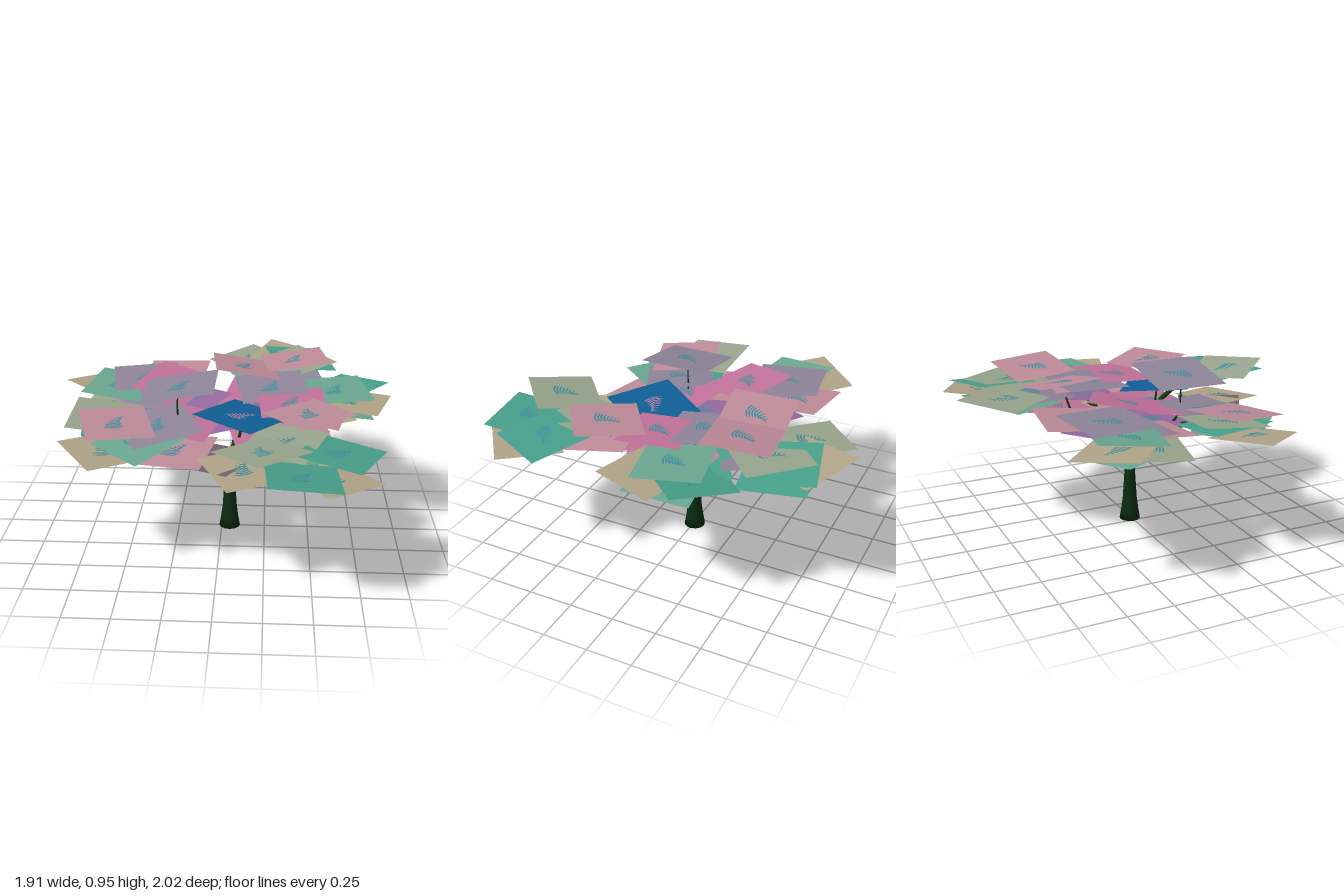
import * as THREE from 'three';
import { mergeGeometries } from 'three/addons/utils/BufferGeometryUtils.js';

const COLORS = {
  pink: 0xbd8a98, rose: 0xc07198, dusk: 0x8f8499, mauve: 0x96689f, blue: 0x0f5f96,
  teal: 0x479f8a, green: 0x6aa690, sage: 0x97a48c, tan: 0xb0a488, shade: 0x75606a,
};
const CARD = 0.36;
const mats = {};
const mat = (color) => (mats[color] ??= new THREE.MeshStandardMaterial({ color, side: THREE.DoubleSide }));

// Leaf cards per bough: x, y, z, yaw in degrees, rise along x, rise along z, colour
const BOUGHS = {
  backLeafCards: [
    [0.36, 0.79, -0.77, -25, -0.06, -0.14, 'tan'],
    [0.45, 0.81, -0.68, 14, -0.12, -0.05, 'teal'],
    [0.14, 0.79, -0.71, 41, 0.05, -0.06, 'sage'],
    [0.42, 0.82, -0.60, 40, 0.02, -0.08, 'sage'],
    [0.41, 0.88, -0.45, 8, 0.12, 0.03, 'pink'],
    [0.12, 0.85, -0.40, 6, -0.18, 0.06, 'pink'],
    [0.34, 0.76, -0.52, 20, 0.1, -0.12, 'dusk'],
    [0.40, 0.72, -0.64, 8, -0.1, -0.05, 'teal'],
    [0.22, 0.75, -0.62, 30, 0.06, -0.1, 'green'],
    [0.20, 0.71, -0.42, -12, 0.08, -0.12, 'rose'],
  ],
  backLeftLeafCards: [
    [0.70, 0.76, -0.31, -44, 0.12, 0.03, 'teal'],
    [0.64, 0.79, -0.18, 12, 0.0, -0.06, 'green'],
    [0.73, 0.76, -0.08, -18, -0.02, 0.02, 'tan'],
    [0.51, 0.71, -0.06, -14, -0.08, -0.1, 'pink'],
    [0.65, 0.70, -0.15, 5, -0.12, 0.06, 'green'],
    [0.42, 0.76, -0.16, -8, 0.06, 0.05, 'pink'],
    [0.54, 0.73, -0.24, 28, -0.1, -0.12, 'teal'],
    [0.53, 0.65, -0.16, 20, 0.06, -0.06, 'tan'],
  ],
  backRightLeafCards: [
    [-0.70, 0.72, -0.42, 47, -0.08, 0.06, 'tan'],
    [-0.61, 0.75, -0.32, -13, -0.05, -0.1, 'green'],
    [-0.62, 0.68, -0.20, -10, 0.08, -0.06, 'sage'],
    [-0.46, 0.79, -0.36, 9, 0.03, -0.04, 'dusk'],
    [-0.30, 0.77, -0.48, -6, 0.06, -0.1, 'pink'],
    [-0.28, 0.82, -0.18, -27, -0.04, -0.18, 'rose'],
    [-0.43, 0.70, -0.10, 4, -0.06, -0.1, 'pink'],
    [-0.20, 0.67, -0.29, -32, 0.08, -0.1, 'mauve'],
    [-0.56, 0.64, -0.30, 24, -0.08, 0.06, 'green'],
    [-0.42, 0.74, -0.24, 18, 0.06, -0.14, 'dusk'],
  ],
  frontLeftLeafCards: [
    [0.23, 0.79, 0.71, 42, 0.04, 0.13, 'sage'],
    [0.62, 0.74, 0.60, -25, -0.09, 0.02, 'teal'],
    [0.43, 0.71, 0.82, 3, -0.08, 0.08, 'teal'],
    [0.58, 0.67, 0.74, 38, -0.06, 0.06, 'tan'],
    [0.34, 0.75, 0.50, -22, 0.05, -0.08, 'sage'],
    [0.14, 0.65, 0.61, 28, -0.06, -0.08, 'tan'],
    [0.47, 0.83, 0.30, 36, 0.05, 0.05, 'pink'],
    [0.40, 0.68, 0.62, 18, -0.12, 0.05, 'green'],
    [0.42, 0.71, 0.36, 10, -0.08, -0.1, 'pink'],
  ],
  frontRightLeafCards: [
    [-0.54, 0.77, 0.33, 17, -0.08, -0.08, 'pink'],
    [-0.62, 0.76, 0.21, -2, -0.1, -0.1, 'sage'],
    [-0.41, 0.71, 0.42, -42, 0.06, -0.12, 'green'],
    [-0.60, 0.65, 0.41, 36, -0.1, -0.04, 'tan'],
    [-0.22, 0.66, 0.42, -12, 0.04, -0.08, 'pink'],
    [-0.33, 0.74, 0.27, 24, 0.06, -0.12, 'dusk'],
    [-0.01, 0.64, 0.47, -30, 0.05, 0.05, 'shade'],
    [-0.55, 0.72, 0.26, 8, -0.1, 0.06, 'teal'],
    [-0.40, 0.65, 0.34, -24, 0.06, -0.08, 'green'],
  ],
  crownLeafCards: [
    [-0.215, 0.92, 0.16, -1, 0.16, 0.0, 'dusk'],
    [0.12, 0.775, 0.21, -35, -0.08, 0.04, 'blue'],
    [0.39, 0.79, 0.03, 4, 0.05, -0.06, 'rose'],
    [0.28, 0.80, -0.19, 9, 0.05, -0.08, 'dusk'],
    [0.36, 0.69, -0.17, -16, -0.06, -0.1, 'mauve'],
    [0.09, 0.65, -0.31, 18, 0.06, -0.08, 'rose'],
    [-0.14, 0.66, 0.02, 22, 0.05, -0.08, 'mauve'],
    [0.26, 0.64, 0.22, 12, 0.06, -0.08, 'rose'],
    [-0.20, 0.72, 0.16, -16, -0.06, -0.1, 'rose'],
    [0.36, 0.63, 0.04, 30, 0.06, 0.06, 'pink'],
  ],
};

// Flat fern frond: a curved row of paired slim leaflets
function frondGeometry() {
  const leaflets = [];
  for (let i = 0; i < 8; i++) {
    const len = 0.06 * (1 - i / 10);
    for (const side of [-1, 1]) {
      const s = new THREE.Shape([
        new THREE.Vector2(0, -0.004), new THREE.Vector2(len * 0.6, 0.004),
        new THREE.Vector2(len, 0.02), new THREE.Vector2(len * 0.4, 0.012), new THREE.Vector2(0, 0.004),
      ]);
      const g = new THREE.ShapeGeometry(s);
      g.scale(side, 1, 1);
      g.translate(0.001 * i * i - 0.02, i * 0.016 - 0.06, 0);
      leaflets.push(g);
    }
  }
  return mergeGeometries(leaflets).rotateX(-Math.PI / 2);
}
const frond = frondGeometry();

// Turn a flat geometry, then shear it so it slopes without changing its plan outline
function slope(geo, yaw, sx, sz, lift) {
  geo.rotateY(THREE.MathUtils.degToRad(yaw));
  const p = geo.attributes.position;
  for (let i = 0; i < p.count; i++) p.setY(i, lift + sx * p.getX(i) + sz * p.getZ(i));
  geo.computeVertexNormals();
  return geo;
}

function leafCard([x, y, z, yaw, sx, sz, color]) {
  const card = new THREE.Group();
  card.name = 'leafCard';
  const size = color === 'blue' || color === 'dusk' ? 0.385 : CARD;
  const sheet = new THREE.Mesh(
    slope(new THREE.PlaneGeometry(size, size).rotateX(-Math.PI / 2), yaw, sx, sz, 0), mat(COLORS[color]));
  sheet.name = 'leafSheet';
  card.add(sheet);
  const ink = color === 'blue' ? 0xb07a9c : 0x3f8c98;
  for (const lift of [0.002, -0.002]) {
    const fern = new THREE.Mesh(slope(frond.clone(), yaw, sx, sz, lift), mat(lift > 0 ? ink : 0x4a5a58));
    fern.name = 'fernFrond';
    card.add(fern);
  }
  card.position.set(x, y, z);
  return card;
}

// Tapered limb: a tube whose rings shrink along its path
function limb(name, points, r0, r1, color) {
  const curve = new THREE.CatmullRomCurve3(points.map((p) => new THREE.Vector3(...p)));
  const rings = 14, sides = 8;
  const geo = new THREE.TubeGeometry(curve, rings, r0, sides);
  const pos = geo.attributes.position, v = new THREE.Vector3();
  for (let i = 0; i < pos.count; i++) {
    const t = Math.floor(i / (sides + 1)) / rings;
    const c = curve.getPointAt(t);
    v.fromBufferAttribute(pos, i).sub(c).multiplyScalar(1 + (r1 / r0 - 1) * t).add(c);
    pos.setXYZ(i, v.x, v.y, v.z);
  }
  const mesh = new THREE.Mesh(geo, mat(color));
  mesh.name = name;
  return mesh;
}

export function createModel() {
  const tree = new THREE.Group();
  tree.name = 'tree';

  // Trunk with a flared foot
  const profile = [[0, 0], [0.06, 0], [0.05, 0.06], [0.041, 0.13], [0.034, 0.24], [0.027, 0.35], [0.02, 0.39], [0, 0.4]];
  const trunk = new THREE.Mesh(
    new THREE.LatheGeometry(profile.map(([r, y]) => new THREE.Vector2(r, y)), 12), mat(0x0b2c12));
  trunk.name = 'trunk';
  trunk.position.set(0.046, 0, -0.006);
  tree.add(trunk);

  // Boughs rise steeply from the fork, then level out under the leaves
  const fork = [0.042, 0.35, -0.006];
  const tips = [
    [-0.57, 0.605, -0.28], [0.36, 0.76, -0.70], [0.65, 0.64, -0.20],
    [0.44, 0.66, 0.56], [-0.45, 0.63, 0.33],
  ];
  for (const [x, y, z] of tips) {
    const at = (k, h) => [fork[0] + (x - fork[0]) * k, h, fork[2] + (z - fork[2]) * k];
    const bend = Math.min(y, 0.63);
    tree.add(limb('bough', [fork, at(0.25, 0.5), at(0.5, bend - 0.01), at(0.72, (bend + y) / 2 + 0.01), [x, y, z]], 0.028, 0.009, 0x0f4212));
  }

  // Inner shoots carrying the crown leaves
  const shoots = [[0.12, 0.74, 0.2], [-0.23, 0.74, 0.17], [0.12, 0.76, -0.36], [-0.26, 0.74, -0.16]];
  for (const [x, y, z] of shoots) {
    tree.add(limb('innerShoot', [fork, [x * 0.5 + 0.02, 0.54, z * 0.5], [x * 0.9, 0.66, z * 0.9], [x, y, z]], 0.02, 0.005, 0x0f4212));
  }
  tree.add(limb('crownStem', [[-0.23, 0.74, 0.17], [-0.23, 0.84, 0.17], [-0.22, 0.915, 0.16]], 0.005, 0.003, 0x0b2c12));

  // Canopy of overlapping leaf cards
  for (const [name, cards] of Object.entries(BOUGHS)) {
    const bough = new THREE.Group();
    bough.name = name;
    for (const c of cards) bough.add(leafCard(c));
    tree.add(bough);
  }
  return tree;
}
